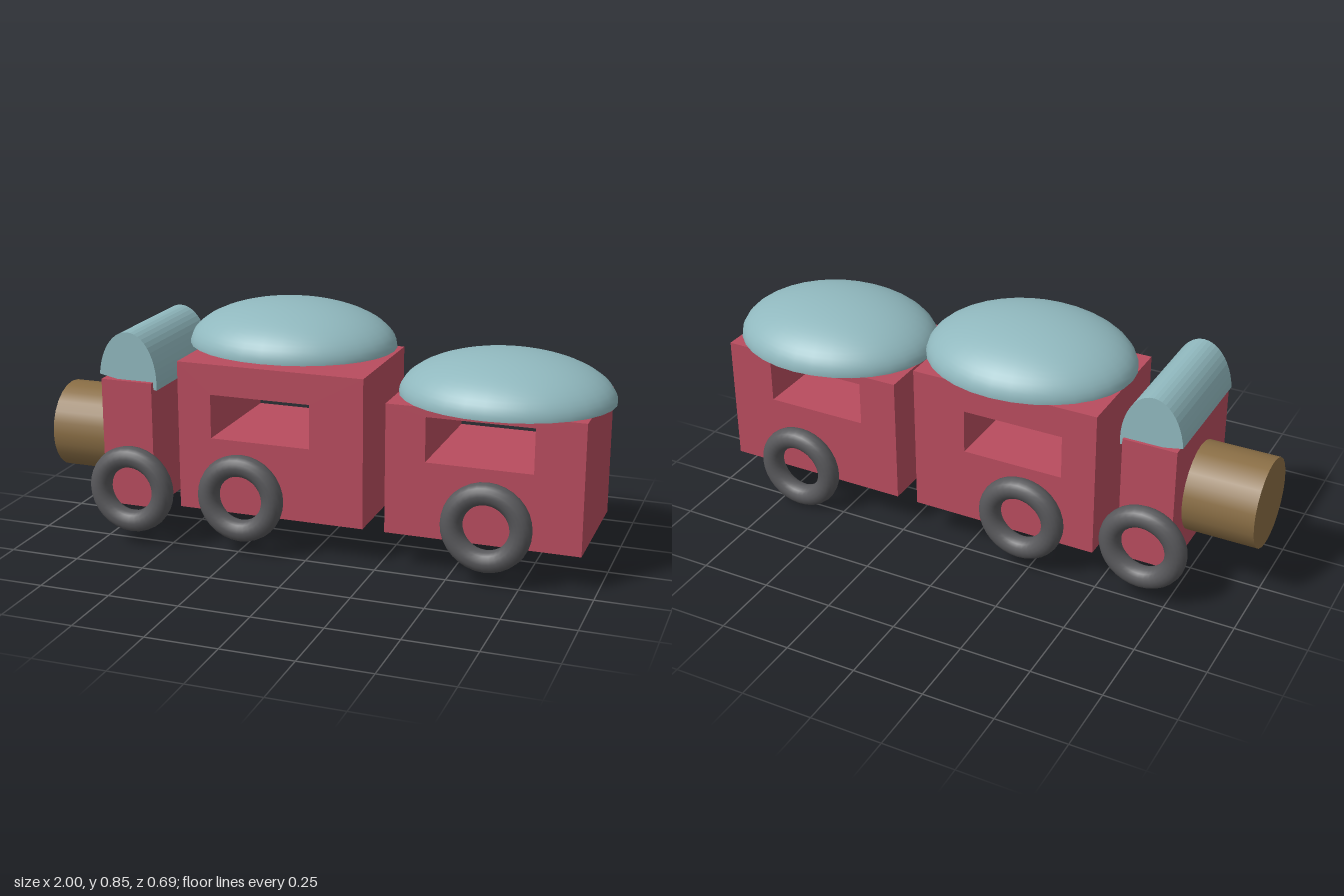
import * as THREE from 'three';

const paint = (color) => new THREE.MeshStandardMaterial({ color });

export function createModel() {
  const train = new THREE.Group();
  train.name = 'toyTrain';
  const red = paint(0xb84c5e), teal = paint(0x90b8be), brown = paint(0x8a6e45), dark = paint(0x58585b);

  function add(name, geometry, material, x = 0, y = 0, z = 0, parent = train) {
    const mesh = new THREE.Mesh(geometry, material);
    mesh.name = name;
    mesh.position.set(x, y, z);
    parent.add(mesh);
    return mesh;
  }

  const rectangle = (path, x0, x1, y0, y1) => {
    path.moveTo(x0, y0).lineTo(x1, y0).lineTo(x1, y1).lineTo(x0, y1).closePath();
    return path;
  };

  // Carriage body with a window running right through it
  function carriage(name, x0, x1, top, wx0, wx1) {
    const shape = rectangle(new THREE.Shape(), x0, x1, 0.13, top);
    shape.holes.push(rectangle(new THREE.Path(), wx0, wx1, 0.395, 0.552));
    const geometry = new THREE.ExtrudeGeometry(shape, { depth: 0.457, bevelEnabled: false });
    add(name, geometry, red, 0, 0, -0.24);
  }
  carriage('middleCarriage', -0.482, 0.195, 0.66, -0.36, 0.003);
  carriage('rearCarriage', 0.273, 0.947, 0.585, 0.412, 0.78);

  // Domed oval roof with a flat underside
  function domeRoof(name, x, y, z) {
    const roof = new THREE.Group();
    roof.name = name;
    roof.position.set(x, y, z);
    const dome = new THREE.SphereGeometry(1, 32, 16, 0, Math.PI * 2, 0, Math.PI / 2);
    add(name + 'Dome', dome.scale(0.369, 0.155, 0.31), teal, 0, 0, 0, roof);
    const base = new THREE.CircleGeometry(1, 32).rotateX(Math.PI / 2);
    add(name + 'Underside', base.scale(0.369, 1, 0.31), teal, 0, 0, 0, roof);
    train.add(roof);
  }
  domeRoof('middleRoof', -0.146, 0.696, -0.031);
  domeRoof('rearRoof', 0.63, 0.585, -0.007);

  // Narrow engine cab
  add('engineCab', new THREE.BoxGeometry(0.19, 0.455, 0.475), red, -0.655, 0.3575, 0.0275);

  // Slightly tilted half-round cab roof
  const arch = [];
  for (let i = 0; i <= 24; i++) {
    const a = (i / 24) * Math.PI, c = Math.cos(a), s = Math.sin(a);
    arch.push(new THREE.Vector2(c * 0.108 + s * 0.014, s * 0.177 - c * 0.021));
  }
  const archGeometry = new THREE.ExtrudeGeometry(new THREE.Shape(arch), { depth: 0.447, bevelEnabled: false });
  add('cabRoof', archGeometry, teal, -0.656, 0.577, -0.199);

  // Round boiler at the nose
  const boiler = new THREE.CylinderGeometry(0.157, 0.157, 0.28, 24).rotateZ(Math.PI / 2);
  add('boiler', boiler, brown, -0.86, 0.333, 0.022);

  // Ring wheels, slightly uneven as on a hand-assembled toy
  const ring = new THREE.TorusGeometry(0.118, 0.038, 16, 32);
  const wheels = [
    ['cabFrontWheel', -0.627, 0.207, 0.306],
    ['cabBackWheel', -0.66, 0.209, -0.236],
    ['middleFrontWheel', -0.232, 0.207, 0.268],
    ['middleBackWheel', -0.225, 0.207, -0.264],
    ['rearFrontWheel', 0.635, 0.207, 0.257],
    ['rearBackWheel', 0.665, 0.157, -0.263],
  ];
  for (const [name, x, y, z] of wheels) add(name, ring, dark, x, y, z);

  return train;
}
